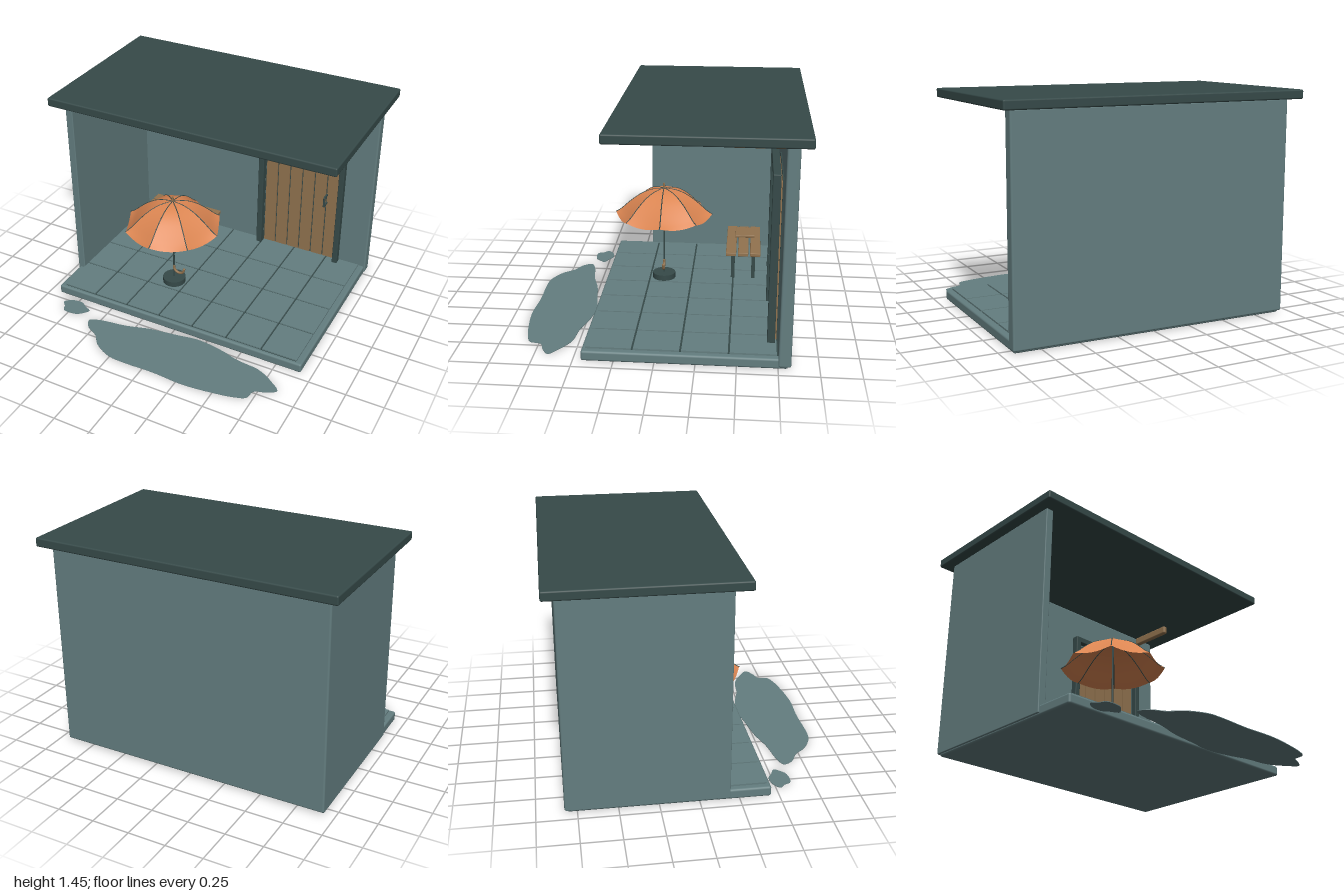
import * as THREE from 'three';
import { RoundedBoxGeometry } from 'three/addons/geometries/RoundedBoxGeometry.js';

const material = (name, color, side = THREE.FrontSide) =>
  Object.assign(new THREE.MeshStandardMaterial({ color, side }), { name });

export function createModel() {
  const slate = material('slate', 0x647e80);
  const dark = material('darkSlate', 0x364a49);
  const wood = material('wood', 0x92734f);
  const orange = material('canopyOrange', 0xdc8652, THREE.DoubleSide);

  const model = new THREE.Group();
  model.name = 'patio';

  const add = (parent, name, geometry, mat, x = 0, y = 0, z = 0) => {
    const mesh = new THREE.Mesh(geometry, mat);
    mesh.name = name;
    mesh.position.set(x, y, z);
    parent.add(mesh);
    return mesh;
  };
  const group = (name, x = 0, y = 0, z = 0) => {
    const g = new THREE.Group();
    g.name = name;
    g.position.set(x, y, z);
    model.add(g);
    return g;
  };
  // Box given by its limits on each axis, with optional rounded edges
  const box = (parent, name, mat, [x0, x1], [y0, y1], [z0, z1], r = 0) => {
    const size = [x1 - x0, y1 - y0, z1 - z0];
    const geometry = r ? new RoundedBoxGeometry(...size, 2, r) : new THREE.BoxGeometry(...size);
    return add(parent, name, geometry, mat, (x0 + x1) / 2, (y0 + y1) / 2, (z0 + z1) / 2);
  };

  // Shell: slab, two walls, flat roof
  box(model, 'floorSlab', slate, [-0.925, 0.925], [0, 0.066], [-0.81, 0.45], 0.014);
  box(model, 'backWall', slate, [-0.935, 0.935], [0.015, 1.395], [-0.828, -0.75], 0.012);
  box(model, 'sideWall', slate, [-0.935, -0.883], [0.015, 1.395], [-0.82, 0.19], 0.006);
  box(model, 'roof', dark, [-1, 1], [1.393, 1.452], [-0.9, 0.29], 0.01);

  // Floor tiles over a dark grout bed
  const floor = group('floorTiles');
  box(floor, 'grout', dark, [-0.88, 0.88], [0.062, 0.069], [-0.75, 0.428]);
  const cols = 7, rows = 4, gap = 0.006;
  const tileW = 1.78 / cols, tileD = 1.18 / rows;
  for (let i = 0; i < cols; i++) {
    for (let j = 0; j < rows; j++) {
      const x = -0.89 + i * tileW, z = -0.747 + j * tileD;
      box(floor, 'tile', slate, [x + gap, x + tileW - gap], [0.064, 0.077], [z + gap, z + tileD - gap]);
    }
  }

  // Roof beams
  for (const x of [-0.79, 0.785]) {
    box(model, 'roofBeam', wood, [x - 0.018, x + 0.018], [1.335, 1.397], [-0.755, -0.435], 0.012);
  }

  // Plank door with frame and pull handle
  const door = group('door');
  box(door, 'doorBacking', dark, [0.125, 0.705], [0.072, 1.123], [-0.752, -0.742]);
  for (const [x0, x1] of [[0.09, 0.13], [0.698, 0.736]]) {
    box(door, 'doorJamb', dark, [x0, x1], [0.072, 1.163], [-0.732, -0.683], 0.005);
  }
  box(door, 'doorLintel', dark, [0.09, 0.736], [1.122, 1.163], [-0.732, -0.684], 0.005);
  const plankW = (0.697 - 0.131) / 6;
  for (let i = 0; i < 6; i++) {
    const x = 0.131 + i * plankW;
    box(door, 'doorPlank', wood, [x + 0.005, x + plankW - 0.005], [0.08, 1.102], [-0.746, -0.73]);
  }
  box(door, 'handleGrip', dark, [0.602, 0.616], [0.535, 0.615], [-0.68, -0.667], 0.004);
  for (const y of [0.542, 0.608]) {
    box(door, 'handleMount', dark, [0.603, 0.615], [y - 0.006, y + 0.006], [-0.735, -0.672]);
  }

  // Wall lamp on a bent arm
  const lamp = group('wallLamp', -0.505, 0, -0.558);
  box(lamp, 'lampArm', dark, [-0.008, 0.008], [1.192, 1.206], [-0.195, 0.008]);
  box(lamp, 'lampDrop', dark, [-0.007, 0.007], [1.12, 1.206], [-0.007, 0.007]);
  add(lamp, 'lampShade', new THREE.CylinderGeometry(0.084, 0.084, 0.028, 32), dark, 0, 1.114, 0);
  add(lamp, 'lampBulb', new THREE.CylinderGeometry(0.05, 0.046, 0.062, 32), wood, 0, 1.071, 0);

  // Bench with three slats and a small board on top
  const bench = group('bench');
  for (const z of [-0.435, -0.52, -0.605]) {
    box(bench, 'benchSlat', wood, [-0.732, -0.19], [0.262, 0.287], [z - 0.036, z + 0.036], 0.004);
  }
  for (const x of [-0.658, -0.26]) {
    for (const z of [-0.449, -0.593]) {
      box(bench, 'benchLeg', dark, [x - 0.014, x + 0.014], [0.075, 0.264], [z - 0.013, z + 0.013]);
    }
  }
  box(bench, 'smallBoard', wood, [-0.662, -0.49], [0.287, 0.307], [-0.6, -0.46], 0.004);

  // Parasol: base, pole, eight creased panels, ribs and a crook handle
  const parasol = group('parasol', -0.22, 0, 0.04);
  add(parasol, 'parasolBase', new THREE.CylinderGeometry(0.08, 0.08, 0.04, 32), dark, 0, 0.096, 0);
  add(parasol, 'parasolPole', new THREE.CylinderGeometry(0.006, 0.006, 0.66, 12), dark, 0, 0.42, 0);
  add(parasol, 'finial', new THREE.CylinderGeometry(0.007, 0.008, 0.04, 12), wood, 0, 0.761, 0);
  const profile = new THREE.SplineCurve([
    [0.001, 0.746], [0.09, 0.732], [0.17, 0.695], [0.24, 0.642], [0.3, 0.588], [0.338, 0.564],
  ].map(([r, y]) => new THREE.Vector2(r, y)));
  const half = Math.PI / 8;
  for (let k = 0; k < 8; k++) {
    const panel = new THREE.PlaneGeometry(1, 1, 10, 14);
    const pos = panel.attributes.position;
    for (let i = 0; i < pos.count; i++) {
      const u = pos.getX(i) * 2, t = 0.5 - pos.getY(i);
      const p = profile.getPoint(t);
      const r = p.x * Math.cos(half) / Math.cos(u * half);
      const a = (k + 0.5) * 2 * half + u * half;
      // Cloth sags between the ribs near the rim
      const sag = 0.022 * t ** 3 * (1 - u * u);
      pos.setXYZ(i, r * Math.sin(a), p.y - sag, r * Math.cos(a));
    }
    panel.computeVertexNormals();
    add(parasol, 'canopyPanel', panel, orange);

    const a = k * 2 * half;
    const path = new THREE.CatmullRomCurve3(profile.getPoints(10).map(
      (p) => new THREE.Vector3(p.x * Math.sin(a), p.y - 0.001, p.x * Math.cos(a))));
    add(parasol, 'canopyRib', new THREE.TubeGeometry(path, 20, 0.0035, 6), dark);
  }
  const crook = new THREE.CatmullRomCurve3([
    [0, 0.205], [0, 0.19], [0.012, 0.168], [0.04, 0.157], [0.068, 0.168], [0.08, 0.198],
  ].map(([x, y]) => new THREE.Vector3(x, y, 0)));
  add(parasol, 'crookHandle', new THREE.TubeGeometry(crook, 24, 0.009, 10), wood);
  for (const [x, y] of [[0, 0.205], [0.08, 0.198]]) {
    add(parasol, 'crookEnd', new THREE.SphereGeometry(0.009, 10, 8), wood, x, y, 0);
  }

  // Puddles in front of the slab, outlined as [x, z]
  const puddle = (name, outline) => {
    const curve = new THREE.CatmullRomCurve3(
      outline.map(([x, z]) => new THREE.Vector3(x, z, 0)), true);
    const shape = new THREE.Shape(curve.getPoints(90).slice(0, -1).map((p) => new THREE.Vector2(p.x, p.y)));
    const geometry = new THREE.ExtrudeGeometry(shape, { depth: 0.004, bevelEnabled: false });
    geometry.rotateX(Math.PI / 2);
    add(model, name, geometry, slate, 0, 0.004, 0);
  };
  puddle('largePuddle', [
    [-0.57, 0.62], [-0.5, 0.588], [-0.32, 0.56], [-0.15, 0.513], [0.03, 0.487], [0.2, 0.463],
    [0.38, 0.487], [0.51, 0.524], [0.68, 0.547], [0.8, 0.615], [0.858, 0.668], [0.8, 0.71],
    [0.727, 0.74], [0.71, 0.81], [0.64, 0.84], [0.51, 0.866], [0.3, 0.888], [0.08, 0.877],
    [-0.15, 0.882], [-0.26, 0.872], [-0.385, 0.807], [-0.45, 0.733], [-0.54, 0.68],
  ]);
  puddle('smallPuddle', [
    [-0.84, 0.53], [-0.795, 0.49], [-0.72, 0.481], [-0.675, 0.508], [-0.627, 0.535],
    [-0.65, 0.572], [-0.69, 0.604], [-0.79, 0.604], [-0.81, 0.565],
  ]);

  return model;
}
